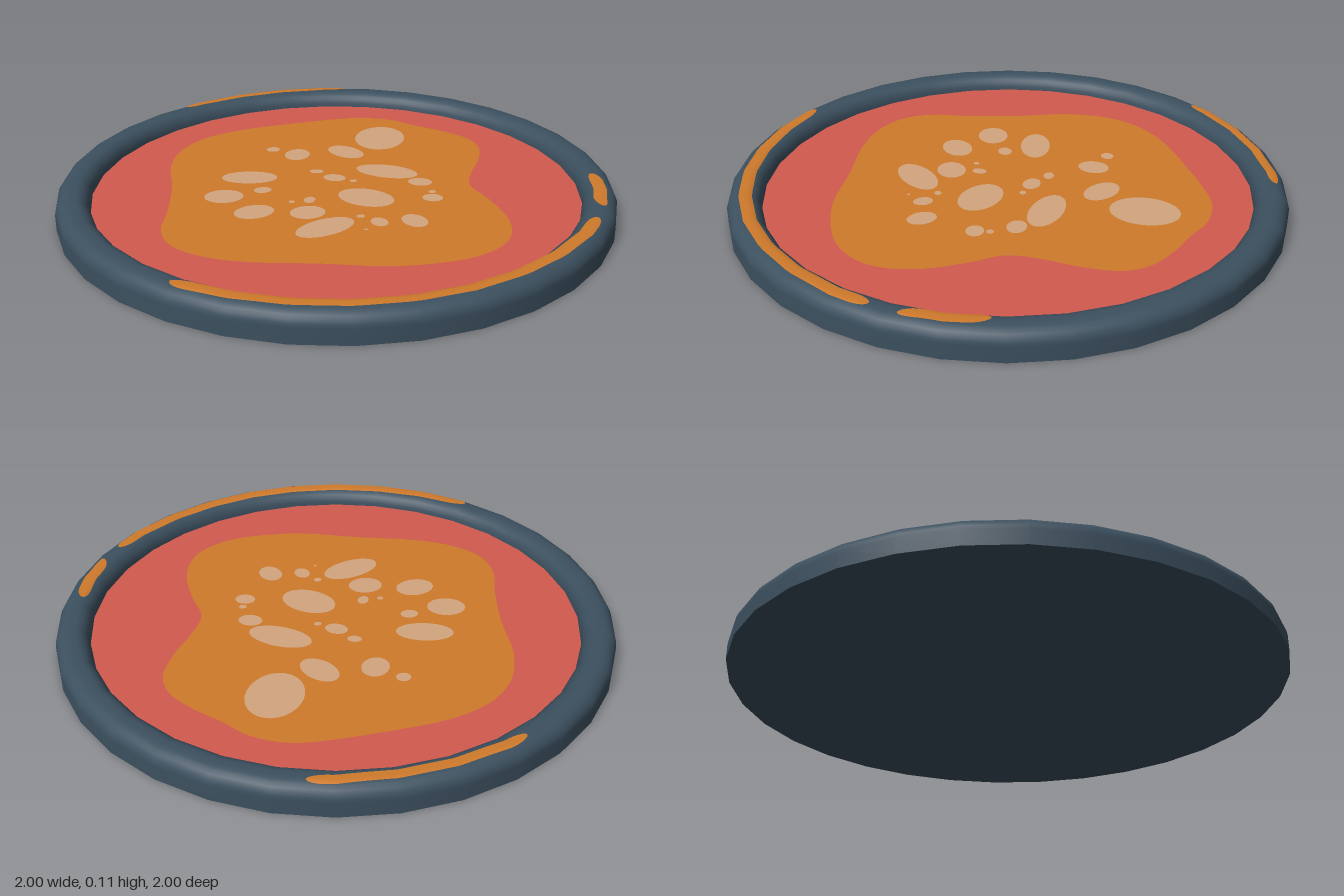
import * as THREE from 'three';

const SEG = 32; // sides of the round rim
const FLOOR = 0.05;

const mat = (name, color) => Object.assign(new THREE.MeshStandardMaterial({ color }), { name });

// Height of the rounded rim at radius r
function rimHeight(r) {
  if (r > 0.95) return 0.055 + Math.sqrt(Math.max(0, 0.05 ** 2 - (r - 0.95) ** 2));
  if (r > 0.93) return 0.105;
  return FLOOR + 0.055 * Math.sqrt(Math.max(0, 1 - ((0.93 - r) / 0.05) ** 2));
}

// Flat closed outline through [x, z] points, facing up at height y
function flatBlob(points, y) {
  const curve = new THREE.CatmullRomCurve3(points.map(([x, z]) => new THREE.Vector3(x, -z, 0)), true);
  const shape = new THREE.Shape(curve.getPoints(points.length * 4).map(p => new THREE.Vector2(p.x, p.y)));
  return new THREE.ShapeGeometry(shape).rotateX(-Math.PI / 2).translate(0, y, 0);
}

// Painted stripe hugging the rim; angles in degrees from the front towards +x,
// radii at start, middle and end, tapered to round ends
function rimStripe(from, to, [r0, r1, r2], halfWidth) {
  const cols = 60, rows = 6, pos = [], index = [];
  const a0 = THREE.MathUtils.degToRad(from), a1 = THREE.MathUtils.degToRad(to);
  const step = 2 * Math.PI / SEG;
  for (let i = 0; i <= cols; i++) {
    const u = (1 - Math.cos(Math.PI * i / cols)) / 2;
    const a = a0 + (a1 - a0) * u;
    const end = Math.min(1, Math.min(u, 1 - u) * (a1 - a0) / 0.07);
    const w = halfWidth * Math.sqrt(1 - (1 - end) ** 2);
    const side = Math.min(1, Math.abs(2 * u - 1)) ** 3;
    const mid = r1 + ((u < 0.5 ? r0 : r2) - r1) * side;
    // follow the straight sides of the rim
    const d = a - (Math.floor(a / step) + 0.5) * step;
    const k = Math.cos(step / 2) / Math.cos(d);
    for (let j = 0; j <= rows; j++) {
      const r = mid + w * (2 * j / rows - 1);
      pos.push(Math.sin(a) * r * k, rimHeight(r) + 0.003, Math.cos(a) * r * k);
      if (i < cols && j < rows) {
        const p = i * (rows + 1) + j, q = p + rows + 1;
        index.push(p, p + 1, q, p + 1, q + 1, q);
      }
    }
  }
  const g = new THREE.BufferGeometry();
  g.setAttribute('position', new THREE.Float32BufferAttribute(pos, 3));
  g.setIndex(index);
  g.computeVertexNormals();
  return g;
}

export function createModel() {
  const group = new THREE.Group();
  const slate = mat('slate', 0x3c505f);
  const red = mat('red', 0xd25a4f);
  const orange = mat('orange', 0xcf7a2b);
  const tan = mat('tan', 0xd2a67e);
  const add = (name, geometry, material) => {
    const mesh = new THREE.Mesh(geometry, material);
    mesh.name = name;
    group.add(mesh);
  };

  // Rim: straight outer wall, rounded lip, drop to the floor
  const profile = [new THREE.Vector2(1, 0), new THREE.Vector2(1, 0.055)];
  for (let i = 1; i <= 6; i++) {
    const a = Math.PI / 2 * i / 6;
    profile.push(new THREE.Vector2(0.95 + 0.05 * Math.cos(a), 0.055 + 0.05 * Math.sin(a)));
  }
  for (let i = 0; i <= 6; i++) {
    const a = Math.PI / 2 * (1 + i / 6);
    profile.push(new THREE.Vector2(0.93 + 0.05 * Math.cos(a), FLOOR + 0.055 * Math.sin(a)));
  }
  add('rim', new THREE.LatheGeometry(profile, SEG), slate);
  add('base', new THREE.CircleGeometry(1, SEG).rotateX(Math.PI / 2), slate);

  // Floor and the wavy patch on it
  add('floor', new THREE.CircleGeometry(0.882, SEG).rotateX(-Math.PI / 2).translate(0, FLOOR, 0), red);
  add('patch', flatBlob([
    [0.15, -0.69], [0.28, -0.68], [0.40, -0.62], [0.48, -0.53], [0.56, -0.45], [0.63, -0.35],
    [0.645, -0.25], [0.60, -0.13], [0.52, 0], [0.48, 0.1], [0.50, 0.22], [0.51, 0.38],
    [0.48, 0.50], [0.42, 0.58], [0.30, 0.64], [0.14, 0.65], [0, 0.63], [-0.2, 0.56],
    [-0.4, 0.50], [-0.54, 0.43], [-0.64, 0.32], [-0.66, 0.2], [-0.62, 0.05], [-0.58, -0.15],
    [-0.56, -0.35], [-0.50, -0.5], [-0.40, -0.6], [-0.25, -0.66], [0, -0.685],
  ], FLOOR + 0.003), orange);

  // Spots: x, z, half length, half width, turn in degrees (clockwise from above)
  const spots = [
    [0.29, -0.43, 0.125, 0.098, -65], [0.12, -0.32, 0.08, 0.052, 55], [-0.07, -0.34, 0.057, 0.048, -60],
    [-0.15, -0.415, 0.026, 0.024, 0], [-0.29, -0.165, 0.103, 0.056, 14], [-0.41, -0.02, 0.07, 0.057, 10],
    [-0.265, -0.04, 0.032, 0.026, 0], [-0.035, -0.16, 0.026, 0.019, 20], [0.015, -0.085, 0.042, 0.032, 30],
    [0.075, -0.04, 0.014, 0.012, 0], [0.22, -0.095, 0.118, 0.06, 32], [0.31, 0.03, 0.044, 0.035, 25],
    [0.325, 0.125, 0.014, 0.013, 0], [0.31, 0.175, 0.037, 0.032, 20], [0.08, 0.115, 0.105, 0.073, 40],
    [-0.33, 0.135, 0.072, 0.055, -10], [-0.185, 0.085, 0.011, 0.011, 0], [-0.12, 0.085, 0.027, 0.02, -60],
    [-0.15, 0.185, 0.063, 0.053, 0], [-0.12, 0.315, 0.113, 0.06, -20], [0.02, 0.26, 0.015, 0.013, 0],
    [0.07, 0.32, 0.036, 0.029, 80], [0.19, 0.34, 0.054, 0.042, 75], [0.01, 0.365, 0.006, 0.006, 0],
  ];
  spots.forEach(([x, z, a, b, turn], i) => {
    const g = new THREE.CircleGeometry(1, 28).scale(a, b, 1).rotateX(-Math.PI / 2);
    g.rotateY(-THREE.MathUtils.degToRad(turn)).translate(x, FLOOR + 0.006, z);
    add(`spot${i + 1}`, g, tan);
  });

  // Stripes painted on the rim
  add('frontStripe', rimStripe(-46, 53, [0.948, 0.934, 0.948], 0.023), orange);
  add('leftStripe', rimStripe(59, 76, [0.955, 0.938, 0.928], 0.023), orange);
  add('backStripe', rimStripe(163.5, 207, [0.96, 0.946, 0.953], 0.018), orange);
  return group;
}
